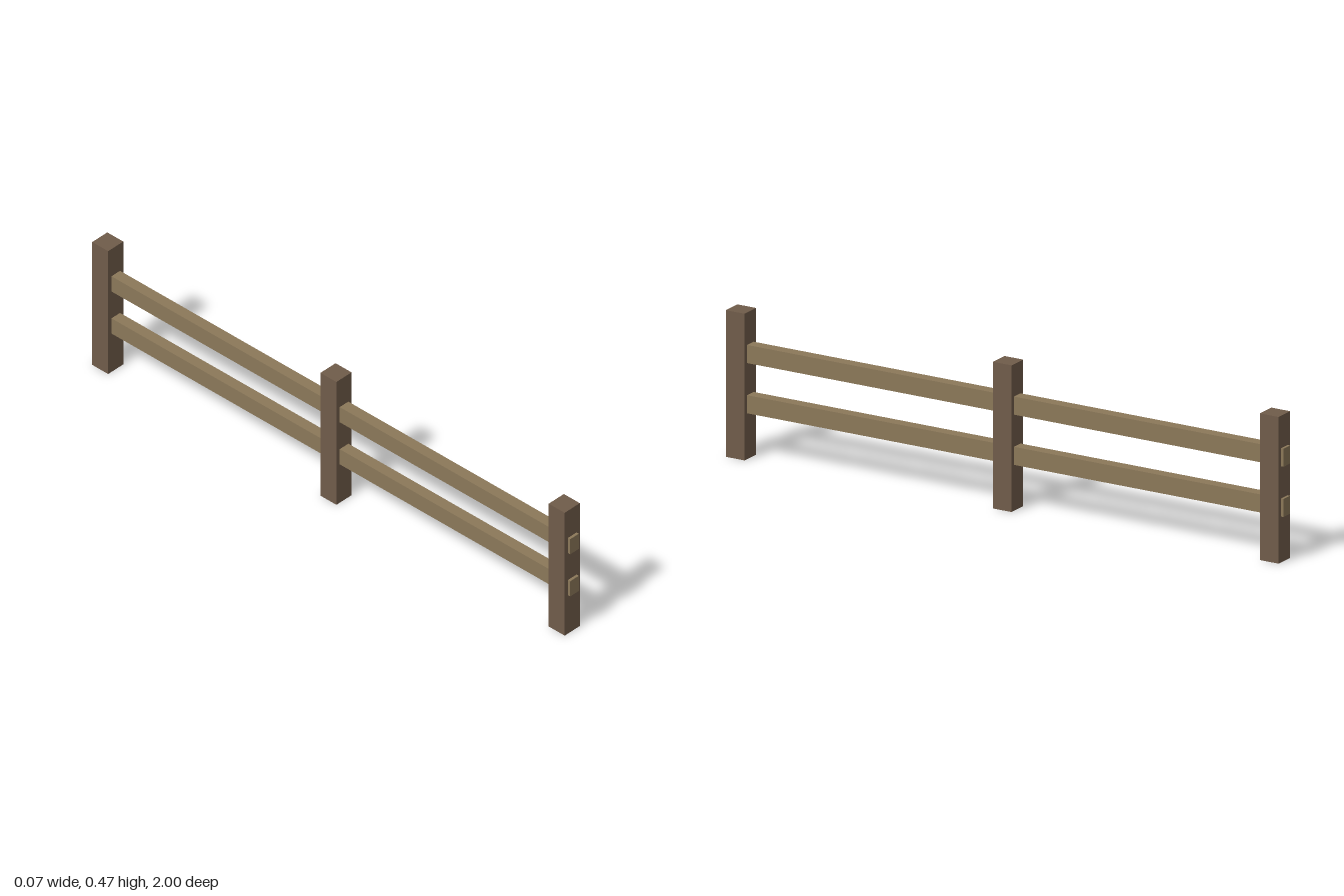
import * as THREE from 'three';

export function createModel() {
  const fence = new THREE.Group();
  fence.name = 'fence';

  const postWood = new THREE.MeshStandardMaterial({ color: 0x705c4a });
  postWood.name = 'dark post wood';
  const railWood = new THREE.MeshStandardMaterial({ color: 0x8b7859 });
  railWood.name = 'light rail wood';

  const addBox = (name, material, size, position) => {
    const mesh = new THREE.Mesh(new THREE.BoxGeometry(...size), material);
    mesh.name = name;
    mesh.position.set(...position);
    fence.add(mesh);
  };

  // Three square posts standing on the ground
  const postHeight = 0.47;
  const posts = { frontPost: 0.957, middlePost: 0, backPost: -0.957 };
  for (const [name, z] of Object.entries(posts)) {
    addBox(name, postWood, [0.067, postHeight, 0.067], [0, postHeight / 2, z]);
  }

  // Two long rails running through the posts, ends poking out
  const rails = { lowerRail: 0.176, upperRail: 0.337 };
  for (const [name, y] of Object.entries(rails)) {
    addBox(name, railWood, [0.038, 0.058, 2], [0, y, 0]);
  }

  return fence;
}
